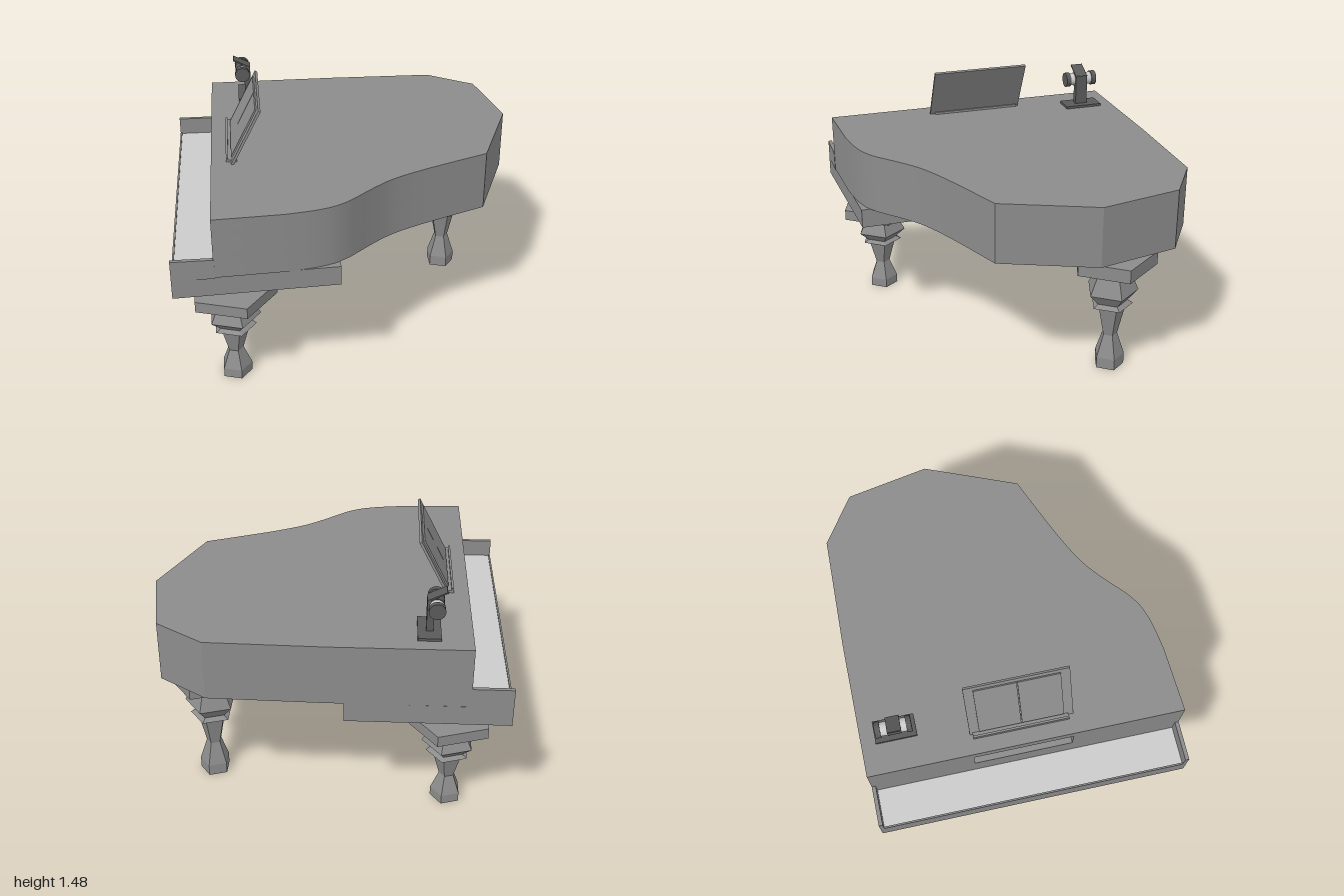
import * as THREE from 'three';
import { toCreasedNormals } from 'three/addons/utils/BufferGeometryUtils.js';

const mat = (color, extra = {}) => new THREE.MeshStandardMaterial({ color, ...extra });
const bodyMat = mat(0x8c8c8c);
const legMat = mat(0x8c8c8c, { flatShading: true });
const darkMat = mat(0x5a5a5a);
const lightMat = mat(0xcccccc);

function add(parent, name, geometry, material, x = 0, y = 0, z = 0) {
  const mesh = new THREE.Mesh(geometry, material);
  mesh.name = name;
  mesh.position.set(x, y, z);
  parent.add(mesh);
  return mesh;
}

// Box given by its min and max corners
function addBox(parent, name, material, [x0, y0, z0], [x1, y1, z1]) {
  return add(parent, name, new THREE.BoxGeometry(x1 - x0, y1 - y0, z1 - z0), material,
    (x0 + x1) / 2, (y0 + y1) / 2, (z0 + z1) / 2);
}

// Horizontal slab from an outline of [x, z] points
function slab(points, y0, y1) {
  const shape = new THREE.Shape(points.map(([x, z]) => new THREE.Vector2(x, -z)));
  const g = new THREE.ExtrudeGeometry(shape, { depth: y1 - y0, bevelEnabled: false });
  g.rotateX(-Math.PI / 2).translate(0, y0, 0);
  return toCreasedNormals(g, 0.35);
}

// Case outline: straight spine, angular tail, S-shaped bent side
function caseOutline() {
  const bend = new THREE.SplineCurve([
    [0.785, 0.29], [0.5, 0.405], [0.33, 0.48], [0.2, 0.55], [0.09, 0.635], [0, 0.715],
    [-0.06, 0.765], [-0.14, 0.81], [-0.25, 0.842], [-0.4, 0.865],
  ].map(p => new THREE.Vector2(...p)));
  return [
    [-0.775, -0.89], [0, -0.893], [0.64, -0.88], [0.91, -0.7], [1, -0.23],
    ...bend.getPoints(36).map(p => [p.x, p.y]),
    [-0.775, 0.885],
  ];
}

// Five-sided turned leg
function addLeg(parent, name, x, z, height) {
  const profile = [
    [0, 0], [0.09, 0], [0.09, 0.093], [0.045, 0.28], [0.085, 0.525], [0.127, 0.55],
    [0.095, 0.577], [0.154, 0.67], [0.108, 0.815], [0.252, 0.89], [0.252, 1], [0, 1],
  ].map(([r, t]) => new THREE.Vector2(r, t * height));
  add(parent, name, new THREE.LatheGeometry(profile, 5, Math.PI / 2), legMat, x, 0, z);
}

export function createModel() {
  const model = new THREE.Group();
  model.name = 'grandPiano';

  // Upper case in three layers; the middle one has the slot in the front panel
  const outline = caseOutline();
  const slot = [[-0.775, 0.26], [-0.6, 0.26], [-0.6, -0.3], [-0.775, -0.3]];
  const body = new THREE.Group();
  body.name = 'case';
  model.add(body);
  add(body, 'caseLower', slab(outline, 0.815, 0.965), bodyMat);
  add(body, 'caseMiddle', slab([...outline, ...slot], 0.965, 1.1), bodyMat);
  add(body, 'caseUpper', slab(outline, 1.1, 1.165), bodyMat);

  // Key bed, cheeks, front lip and keys
  add(model, 'keyBed', slab([[-1, -0.89], [-0.1, -0.89], [-0.1, 0.842], [-1, 0.888]], 0.7, 0.814), bodyMat);
  addBox(model, 'cheekRight', bodyMat, [-1, 0.81, -0.89], [-0.77, 0.925, -0.868]);
  addBox(model, 'cheekLeft', bodyMat, [-1, 0.81, 0.865], [-0.77, 0.925, 0.887]);
  addBox(model, 'keyLip', bodyMat, [-1, 0.81, -0.868], [-0.99, 0.828, 0.865]);
  addBox(model, 'keys', lightMat, [-0.99, 0.805, -0.868], [-0.775, 0.82, 0.865]);

  // Legs
  addLeg(model, 'frontLegLeft', -0.69, 0.625, 0.59);
  addLeg(model, 'frontLegRight', -0.69, -0.625, 0.59);
  addLeg(model, 'rearLeg', 0.69, -0.43, 0.735);

  // Music stand: tilted board, two panels and a ledge
  const stand = new THREE.Group();
  stand.name = 'musicStand';
  stand.position.set(-0.66, 1.165, -0.01);
  stand.rotation.z = -0.475;
  addBox(stand, 'standBoard', bodyMat, [-0.003, 0, -0.29], [0.012, 0.355, 0.29]);
  for (const s of [-1, 1]) {
    const panel = addBox(stand, 'standPanel', bodyMat, [-0.012, 0.02, 0], [-0.003, 0.335, 0.235]);
    panel.position.z = s * 0.12;
  }
  model.add(stand);
  addBox(model, 'standLedge', bodyMat, [-0.69, 1.165, -0.285], [-0.63, 1.178, 0.25]);
  addBox(model, 'standLedgeLip', bodyMat, [-0.69, 1.165, -0.285], [-0.678, 1.192, 0.25]);

  // Lamp: base, post, horizontal drum with rings, tilted flap
  const lamp = new THREE.Group();
  lamp.name = 'lamp';
  model.add(lamp);
  addBox(lamp, 'lampBase', darkMat, [-0.605, 1.165, -0.81], [-0.48, 1.18, -0.58]);
  addBox(lamp, 'lampPost', darkMat, [-0.563, 1.18, -0.73], [-0.525, 1.36, -0.655]);
  const drum = (name, r, z0, z1, m) => add(lamp, name,
    new THREE.CylinderGeometry(r, r, z1 - z0, 24).rotateX(Math.PI / 2), m, -0.575, 1.33, (z0 + z1) / 2);
  drum('lampDrum', 0.038, -0.77, -0.615, lightMat);
  drum('lampBand', 0.042, -0.73, -0.655, darkMat);
  drum('lampCapRear', 0.045, -0.795, -0.765, darkMat);
  drum('lampCapFront', 0.045, -0.625, -0.597, darkMat);
  const flap = add(lamp, 'lampFlap', new THREE.BoxGeometry(0.11, 0.008, 0.075), darkMat, -0.578, 1.383, -0.692);
  flap.rotation.z = -0.46;

  return model;
}
